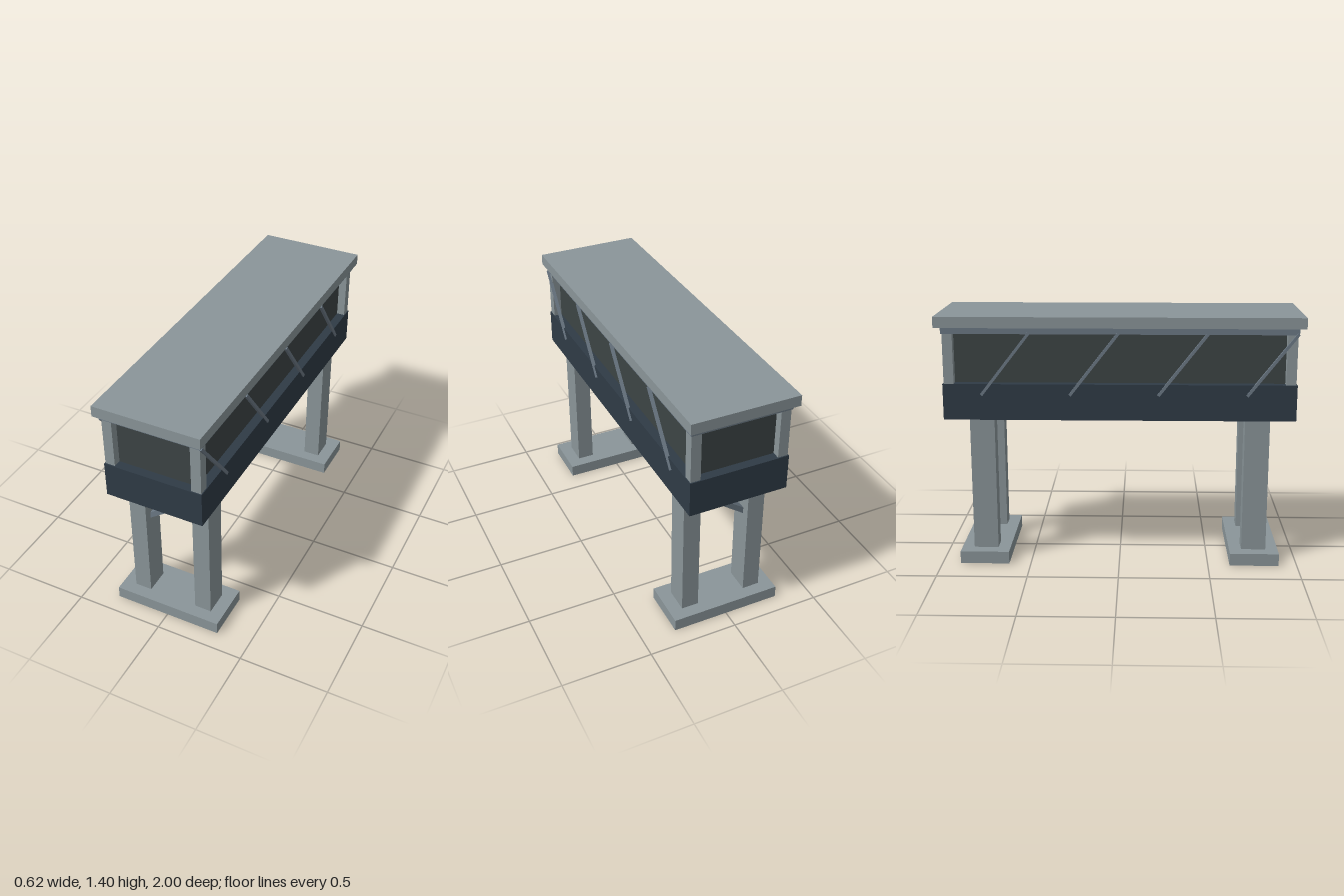
import * as THREE from 'three';

const paint = (color) => new THREE.MeshStandardMaterial({ color });

export function createModel() {
  const model = new THREE.Group();
  model.name = 'elevatedCabin';

  const concrete = paint(0x8a9599);
  const steel = paint(0x6c7985);
  const cladding = paint(0x2f3b46);
  const glass = paint(0x3c4445);

  const box = (name, material, size, position) => {
    const mesh = new THREE.Mesh(new THREE.BoxGeometry(...size), material);
    mesh.name = name;
    mesh.position.set(...position);
    model.add(mesh);
    return mesh;
  };

  // Cabin: solid lower walls, recessed window band, trim and flat roof
  box('cabinBase', cladding, [0.55, 0.2, 1.93], [0, 0.93, 0]);
  box('windowBand', glass, [0.45, 0.28, 1.83], [0, 1.168, 0]);
  box('roofTrim', steel, [0.55, 0.035, 1.93], [0, 1.3225, 0]);
  box('roof', concrete, [0.59, 0.06, 2], [0, 1.37, 0]);

  // Corner posts beside the windows
  for (const x of [-0.243, 0.243])
    for (const z of [-0.931, 0.931])
      box('cornerPost', concrete, [0.055, 0.28, 0.055], [x, 1.168, z]);

  // Slanted rods along both long sides
  const drop = 0.34, run = 0.265;
  for (const x of [-0.274, 0.274])
    for (let i = 0; i < 4; i++) {
      const rod = box('slantedRod', steel, [0.016, Math.hypot(drop, run), 0.016],
        [x, 1.14, 0.96 - i * 0.483 - run / 2]);
      rod.rotation.x = Math.atan2(run, drop);
    }

  // Diagonal brace with upright ends that meet the legs
  const braceShape = new THREE.Shape([
    new THREE.Vector2(-0.14, 0.572), new THREE.Vector2(0.14, 0.775),
    new THREE.Vector2(0.14, 0.813), new THREE.Vector2(-0.14, 0.61),
  ]);
  const braceGeometry = new THREE.ExtrudeGeometry(braceShape, { depth: 0.045, bevelEnabled: false });
  braceGeometry.translate(0, 0, -0.0225);

  // Two supports, each with a footing, a pair of legs and a brace
  for (const z of [-0.76, 0.76]) {
    box('footing', concrete, [0.62, 0.07, 0.275], [0, 0.035, z]);
    for (const x of [-0.188, 0.188])
      box('leg', concrete, [0.096, 0.77, 0.137], [x, 0.45, z]);
    const brace = new THREE.Mesh(braceGeometry, steel);
    brace.name = 'diagonalBrace';
    brace.position.z = z;
    model.add(brace);
  }

  return model;
}
